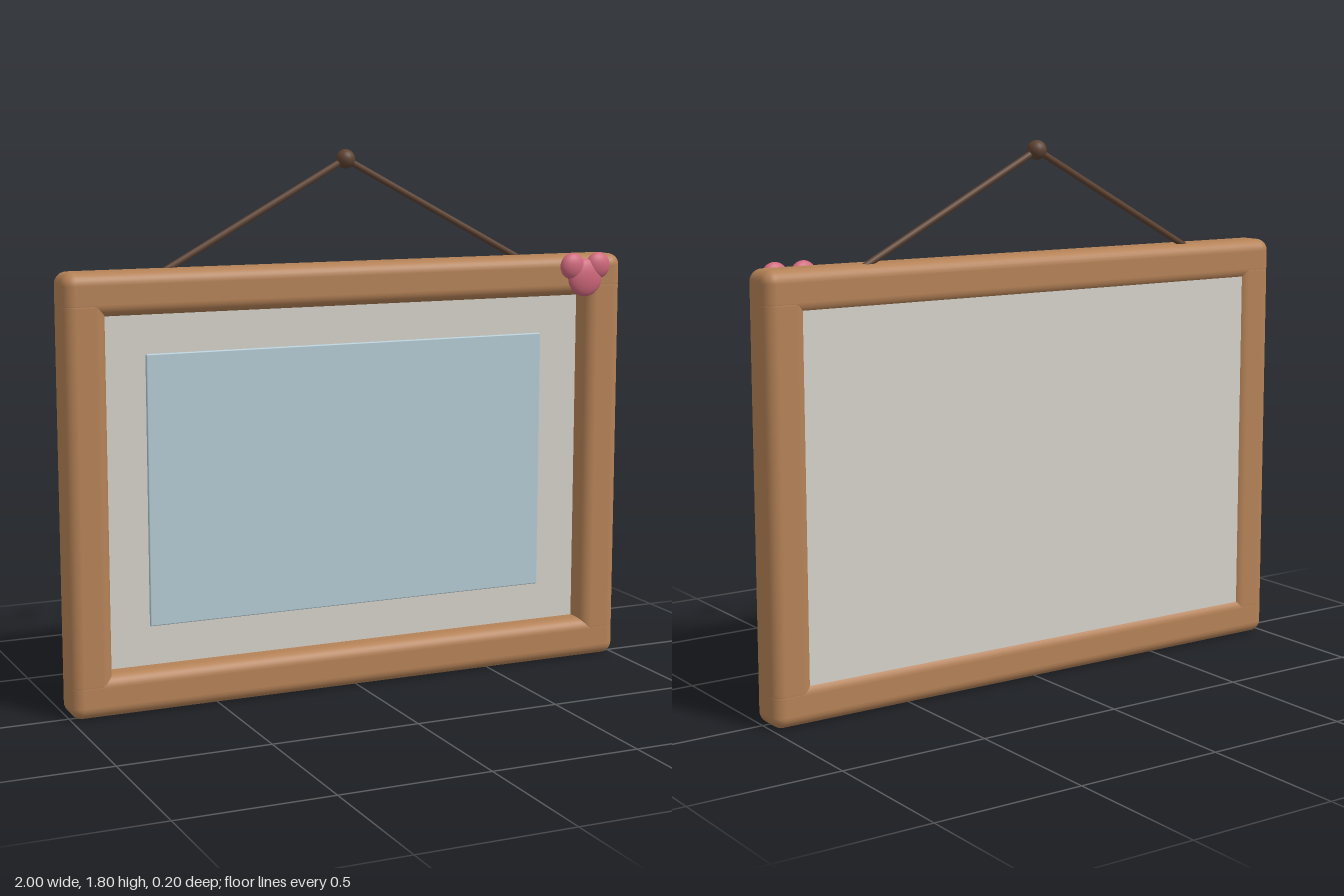
import * as THREE from 'three';
import { RoundedBoxGeometry } from 'three/addons/geometries/RoundedBoxGeometry.js';

const material = (name, color) => {
  const m = new THREE.MeshStandardMaterial({ color });
  m.name = name;
  return m;
};

export function createModel() {
  const model = new THREE.Group();
  model.name = 'hangingPictureFrame';

  const wood = material('wood', 0xb58257);
  const mat = material('mat board', 0xd4d1c8);
  const glass = material('pale blue glass', 0xb4cbd5);
  const cordBrown = material('dark brown cord', 0x5e4332);
  const pink = material('pink ornament', 0xd0687c);

  const add = (name, geometry, mtl, x, y, z) => {
    const mesh = new THREE.Mesh(geometry, mtl);
    mesh.name = name;
    mesh.position.set(x, y, z);
    model.add(mesh);
    return mesh;
  };

  // Frame: two full-width rails with the side stiles tucked between them
  const W = 0.14, H = 1.43, Z = -0.02, R = 0.04;
  const rail = new RoundedBoxGeometry(2, W, W, 4, R);
  const stile = new RoundedBoxGeometry(W, H - W, W, 4, R);
  add('bottomRail', rail, wood, 0, W / 2, Z);
  add('topRail', rail, wood, 0, H - W / 2, Z);
  add('leftStile', stile, wood, 1 - W / 2, H / 2, Z);
  add('rightStile', stile, wood, -1 + W / 2, H / 2, Z);

  // Mat board and the softly shaded pane on its front
  add('matBoard', new RoundedBoxGeometry(1.78, 1.21, 0.055, 4, 0.01), mat, 0, H / 2, -0.0525);
  add('pane', new RoundedBoxGeometry(1.43, 0.89, 0.018, 2, 0.004), glass, 0, H / 2, -0.024);

  // Hanging cord and its knob
  const top = new THREE.Vector3(0, 1.765, -0.068);
  for (const side of [1, -1]) {
    const foot = new THREE.Vector3(side * 0.65, 1.415, -0.047);
    const dir = top.clone().sub(foot);
    const mid = foot.clone().addScaledVector(dir, 0.5);
    const cord = add(side > 0 ? 'leftCord' : 'rightCord',
      new THREE.CylinderGeometry(0.011, 0.011, dir.length(), 10), cordBrown, mid.x, mid.y, mid.z);
    cord.quaternion.setFromUnitVectors(new THREE.Vector3(0, 1, 0), dir.normalize());
  }
  add('hangingKnob', new THREE.SphereGeometry(0.032, 20, 14), cordBrown, top.x, top.y, top.z);

  // Corner ornament: three flattened balls
  const ball = new THREE.SphereGeometry(1, 24, 16);
  const lobes = [
    ['ornamentCentre', 0.835, 1.355, 0.065],
    ['ornamentLeftLobe', 0.885, 1.395, 0.045],
    ['ornamentRightLobe', 0.785, 1.395, 0.045],
  ];
  for (const [name, x, y, r] of lobes) {
    add(name, ball, pink, x, y, 0.075).scale.set(r, r, 0.025);
  }

  return model;
}
